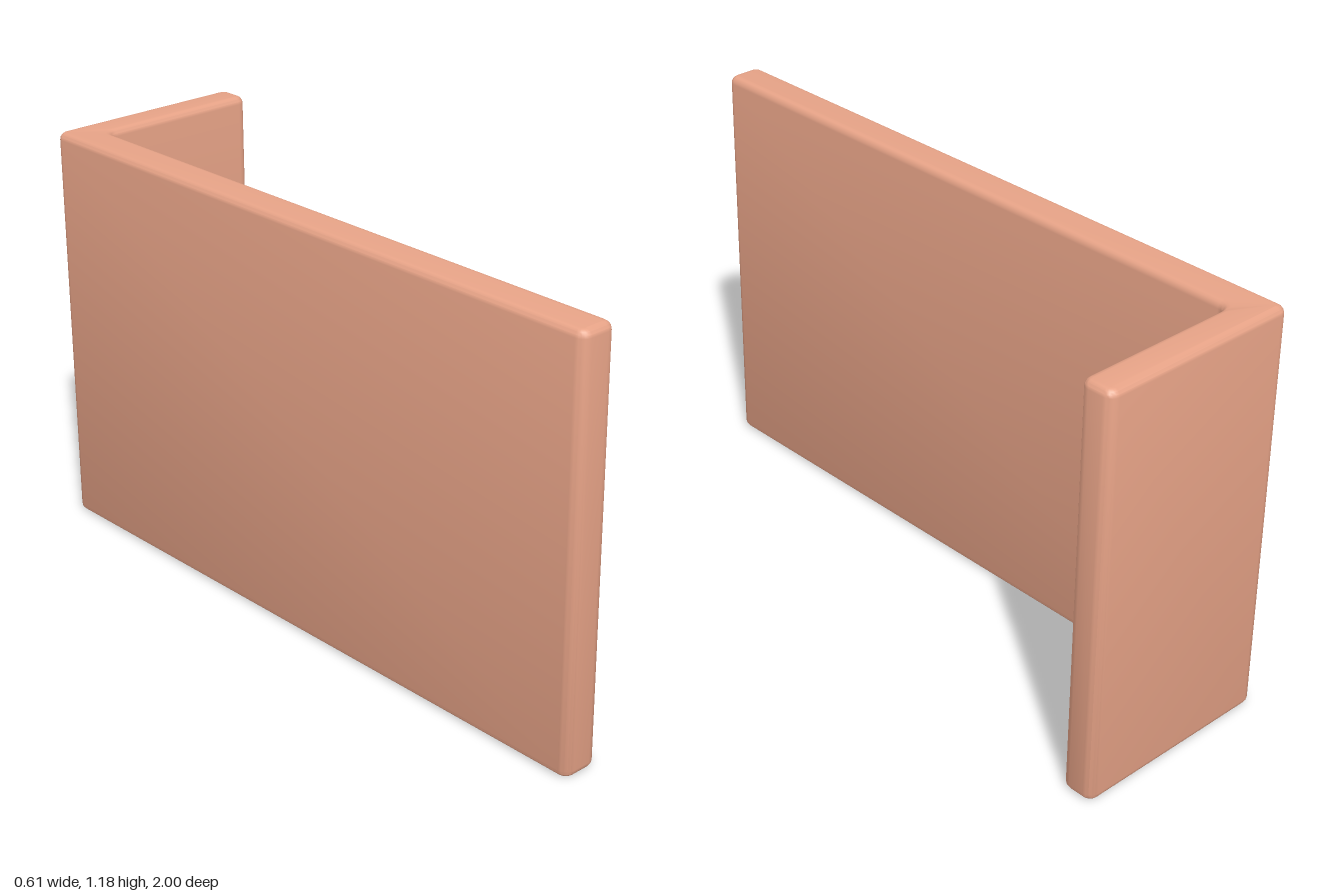
import * as THREE from 'three';
import { toCreasedNormals } from 'three/addons/utils/BufferGeometryUtils.js';

// Closed outline whose corners are all rounded by near-circular arcs of radius r
function roundedOutline(corners, r) {
  const pts = corners.map(([x, y]) => new THREE.Vector2(x, y));
  const shape = new THREE.Shape();
  pts.forEach((p, i) => {
    const prev = pts[(i + pts.length - 1) % pts.length];
    const next = pts[(i + 1) % pts.length];
    const a = p.clone().add(prev.clone().sub(p).setLength(r));
    const b = p.clone().add(next.clone().sub(p).setLength(r));
    const ca = a.clone().lerp(p, 0.5523), cb = b.clone().lerp(p, 0.5523);
    if (i === 0) shape.moveTo(a.x, a.y);
    else shape.lineTo(a.x, a.y);
    shape.bezierCurveTo(ca.x, ca.y, cb.x, cb.y, b.x, b.y);
  });
  shape.closePath();
  return shape;
}

export function createModel() {
  const group = new THREE.Group();
  const height = 1.185, bevel = 0.02;

  // L-shaped plan (x, -z): long side wall with a short return at the back
  const plan = roundedOutline([
    [-0.307, -1], [-0.197, -1], [-0.197, 0.9],
    [0.306, 0.9], [0.306, 1], [-0.307, 1],
  ], 0.028);

  const geometry = new THREE.ExtrudeGeometry(plan, {
    depth: height - 2 * bevel,
    curveSegments: 5,
    bevelThickness: bevel,
    bevelSize: bevel,
    bevelOffset: -bevel,
    bevelSegments: 4,
  });
  geometry.rotateX(-Math.PI / 2);
  geometry.translate(0, bevel, 0);

  const panel = new THREE.Mesh(
    toCreasedNormals(geometry, 0.6),
    new THREE.MeshStandardMaterial({ color: 0xe7a387 }),
  );
  panel.name = 'cornerPanel';
  group.add(panel);
  return group;
}
